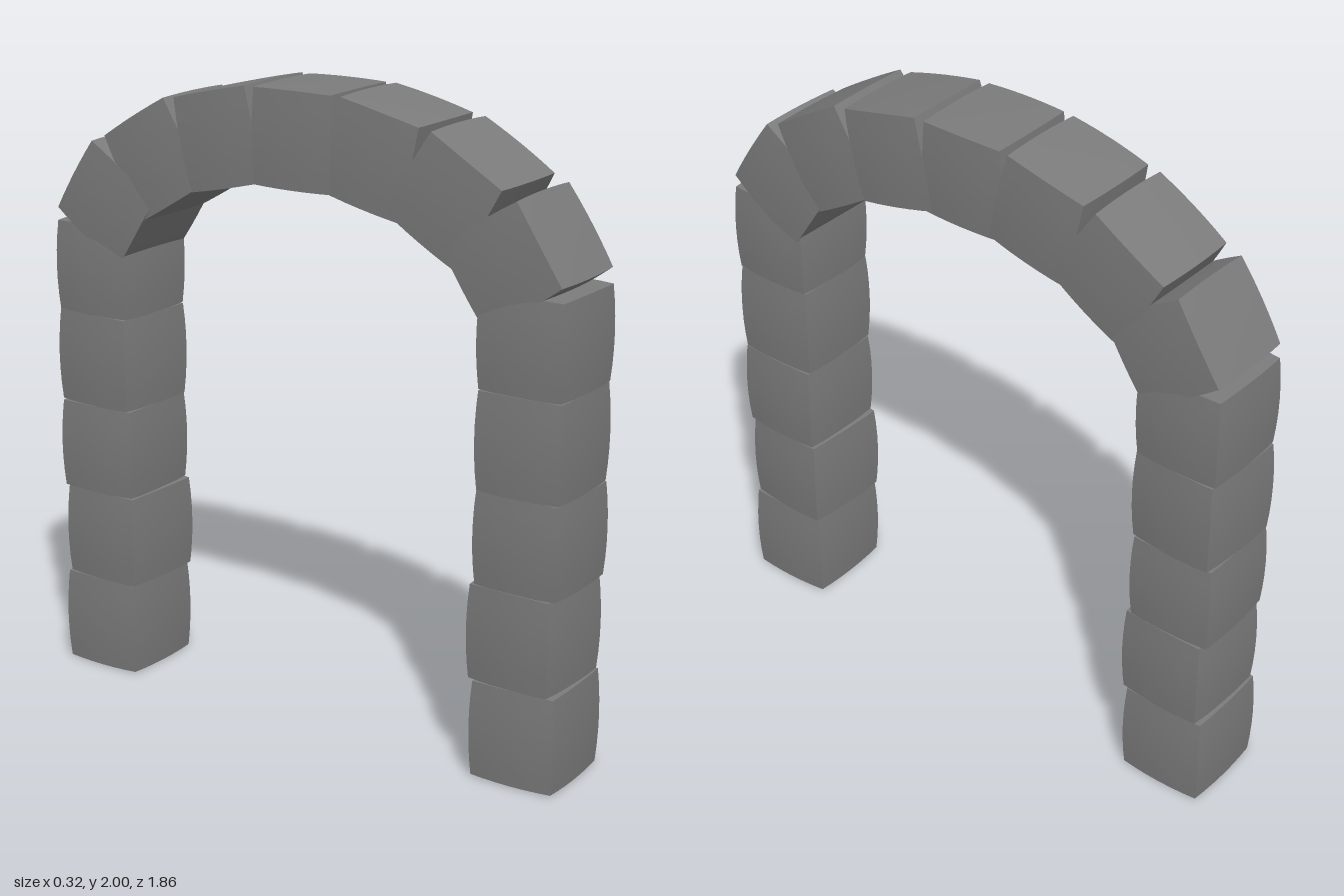
import * as THREE from 'three';

const material = new THREE.MeshStandardMaterial({ color: 0x7b7b7b });

// Stone with pillowed faces and crisp, bowed edges (half sizes at face centres)
function stoneGeometry(hx, hy, hz, pinch) {
  const geo = new THREE.BoxGeometry(2, 2, 2, 6, 6, 6);
  const p = geo.attributes.position;
  for (let i = 0; i < p.count; i++) {
    const x = p.getX(i), y = p.getY(i), z = p.getZ(i);
    const inset = (a, b) => 1 - pinch * (a * a + b * b) / 2;
    p.setXYZ(i, hx * x * inset(y, z), hy * y * (1 - 0.015 * (x * x + z * z)), hz * z * inset(x, y));
  }
  geo.computeVertexNormals();
  return geo;
}

export function createModel() {
  const group = new THREE.Group();
  let seed = 7;
  const jitter = (amount) => {
    seed = (seed * 16807) % 2147483647;
    return (seed / 2147483647 - 0.5) * 2 * amount;
  };

  function addStone(name, geo, x, y, z, tilt, yaw) {
    const stone = new THREE.Mesh(geo, material);
    stone.name = name;
    stone.position.set(x, y, z);
    stone.rotation.set(tilt, yaw, 0);
    group.add(stone);
  }

  // Two pillars of five stacked stones; the second course sits slightly inward
  const levels = [0, 0.305, 0.605, 0.897, 1.2, 1.492];
  for (const side of [1, -1]) {
    for (let i = 0; i < 5; i++) {
      const h = (levels[i + 1] - levels[i]) / 2 + 0.003;
      const z = i === 1 ? 0.772 : 0.784;
      addStone(side > 0 ? 'frontPillarStone' : 'backPillarStone',
        stoneGeometry(0.157, h, 0.147, 0.085),
        jitter(0.003), levels[i] + h, side * z, 0, jitter(0.045));
    }
  }

  // Arch stones: [z, y, tilt in degrees], mirrored front to back
  const archGeo = stoneGeometry(0.157, 0.15, 0.145, 0.06);
  addStone('keystone', archGeo, -0.003, 1.85, 0, 0, 0.015);
  for (const [z, y, deg] of [[0.271, 1.823, 13], [0.522, 1.733, 31], [0.716, 1.573, 57]]) {
    for (const side of [1, -1]) {
      addStone('archStone', archGeo, jitter(0.002), y, side * z,
        side * THREE.MathUtils.degToRad(deg), jitter(0.02));
    }
  }
  return group;
}
